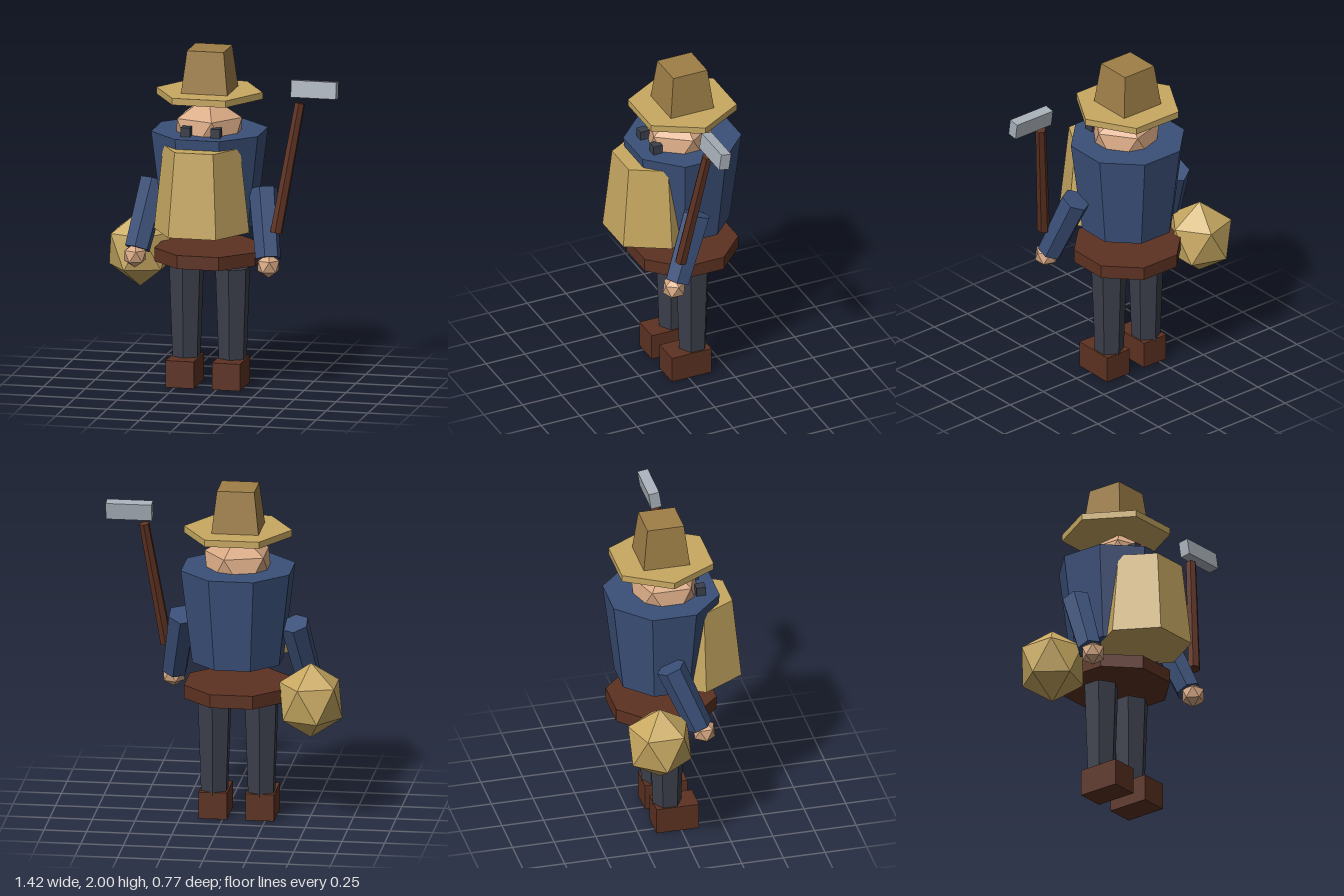
import * as THREE from 'three';
import { ConvexGeometry } from 'three/addons/geometries/ConvexGeometry.js';

const CX = -0.081, CZ = -0.065; // axis of the body

function mat(name, color) {
  const m = new THREE.MeshStandardMaterial({ color, flatShading: true });
  m.name = name;
  return m;
}

export function createModel() {
  const root = new THREE.Group();
  root.name = 'traveller';

  const tan = mat('tan', 0xc8a962);
  const hatBrown = mat('hat brown', 0x9f7f48);
  const blue = mat('coat blue', 0x3b5079);
  const slate = mat('slate', 0x3b3f4a);
  const brown = mat('leather brown', 0x5d3222);
  const skin = mat('skin', 0xd8a984);
  const steel = mat('steel', 0xa9b1ba);

  function add(name, geometry, material, x, y, z) {
    const mesh = new THREE.Mesh(geometry, material);
    mesh.name = name;
    mesh.position.set(x, y, z);
    root.add(mesh);
    return mesh;
  }

  // Upright prism or frustum between two heights, turned so a flat side or corner faces front
  function prism(name, material, sides, rTop, rBottom, y0, y1, x, z, turn = 0) {
    const g = new THREE.CylinderGeometry(rTop, rBottom, y1 - y0, sides);
    g.rotateY(turn);
    return add(name, g, material, x, (y0 + y1) / 2, z);
  }

  // Tapered rod from point a to point b
  function rod(name, material, a, b, rA, rB) {
    const from = new THREE.Vector3(...a), to = new THREE.Vector3(...b);
    const dir = to.clone().sub(from);
    const mid = from.clone().add(to).multiplyScalar(0.5);
    const mesh = add(name, new THREE.CylinderGeometry(rB, rA, dir.length(), 6), material, mid.x, mid.y, mid.z);
    mesh.quaternion.setFromUnitVectors(new THREE.Vector3(0, 1, 0), dir.normalize());
    return mesh;
  }

  // Twenty-sided ball with a corner at the top and the bottom
  function ball(name, material, r, ry, x, y, z) {
    const points = [new THREE.Vector3(0, ry, 0), new THREE.Vector3(0, -ry, 0)];
    for (let i = 0; i < 5; i++) {
      const a = (i / 5) * Math.PI * 2;
      const c = Math.cos(a) * 0.894 * r, s = Math.sin(a) * 0.894 * r;
      points.push(new THREE.Vector3(c, 0.447 * ry, s), new THREE.Vector3(-c, -0.447 * ry, s));
    }
    return add(name, new ConvexGeometry(points), material, x, y, z);
  }

  // Hat
  prism('hatBrim', tan, 6, 0.318, 0.318, 1.71, 1.75, CX, CZ, Math.PI / 6);
  prism('hatCrown', hatBrown, 4, 0.155, 0.196, 1.75, 2.0, CX, CZ, Math.PI / 4);

  // Head and eyes
  ball('head', skin, 0.223, 0.223, CX, 1.5, -0.042);
  for (const side of [-1, 1]) {
    add('eye', new THREE.BoxGeometry(0.057, 0.057, 0.057), slate, CX + side * 0.09, 1.541, 0.147);
  }

  // Coat, beard and belt
  prism('torso', blue, 8, 0.345, 0.276, 0.955, 1.515, CX, CZ, Math.PI / 8);
  prism('beard', tan, 6, 0.23, 0.285, 0.955, 1.455, CX, 0.135, Math.PI / 6);
  prism('belt', brown, 8, 0.326, 0.326, 0.74, 0.82, CX, CZ, Math.PI / 8);

  // Legs, boots, arms and hands
  for (const side of [-1, 1]) {
    const legX = CX + side * 0.138;
    prism('leg', slate, 6, 0.105, 0.085, 0.14, 0.7, legX, CZ);
    add('boot', new THREE.BoxGeometry(0.168, 0.16, 0.255), brown, legX, 0.08, -0.021);

    const z = side > 0 ? 0 : -0.092; // the left arm reaches further forward
    rod('arm', blue, [CX + side * 0.402, 0.81, z + 0.155], [CX + side * 0.335, 1.19, z], 0.077, 0.087);
    ball('hand', skin, 0.073, 0.073, CX + side * 0.41, 0.775, z + 0.182);
  }

  // Hammer
  rod('hammerHandle', brown, [0.37, 0.968, 0.157], [0.485, 1.722, 0.042], 0.037, 0.031);
  const hammer = add('hammerHead', new THREE.BoxGeometry(0.27, 0.1, 0.064), steel, 0.57, 1.805, 0.03);
  hammer.rotation.x = -0.15;

  // Sack behind the right hand
  ball('sack', tan, 0.207, 0.226, -0.525, 0.757, -0.185);

  return root;
}
